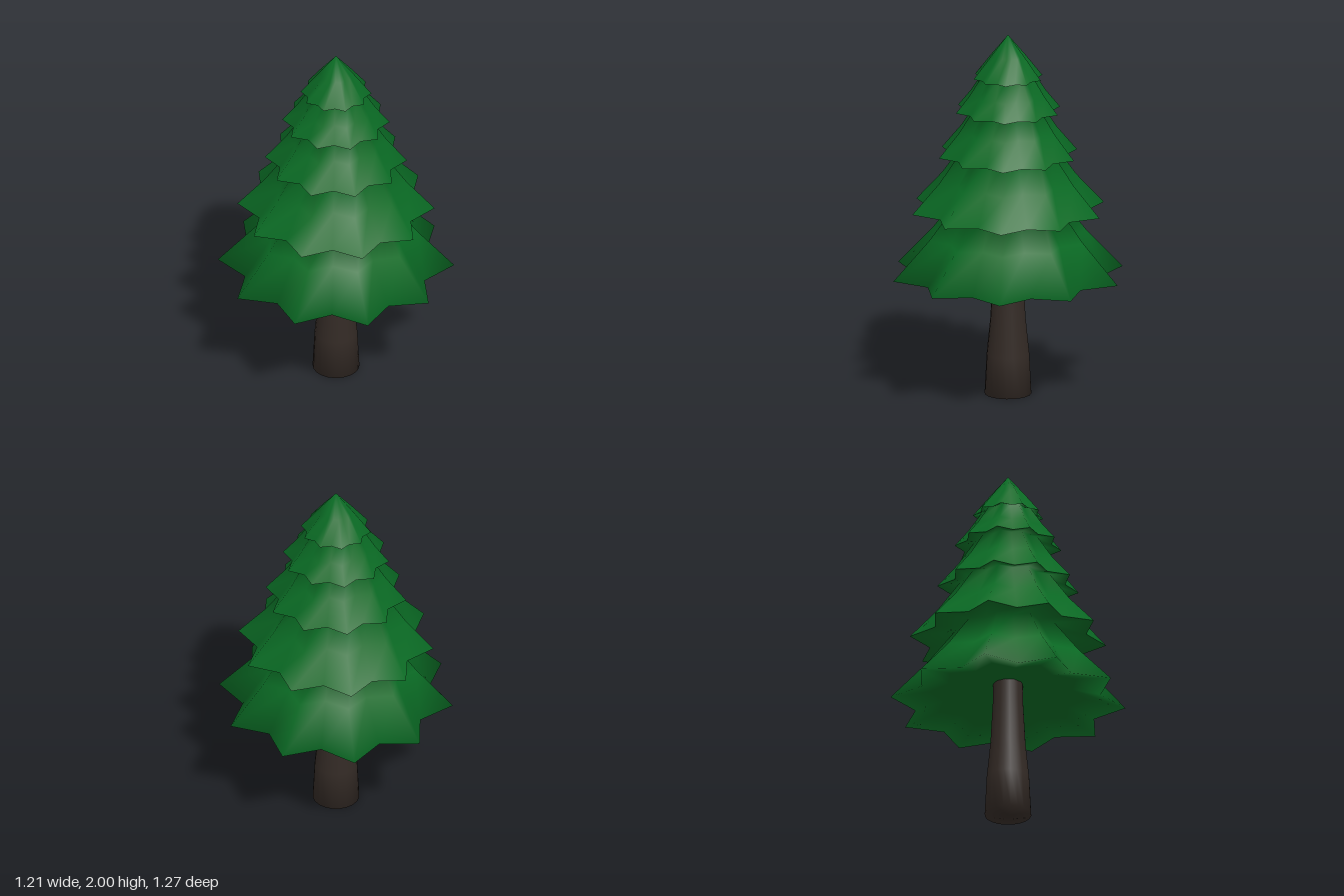
import * as THREE from 'three';
import { mergeVertices } from 'three/addons/utils/BufferGeometryUtils.js';

const POINTS = 10;
const SIDES = POINTS * 2;

// Smooth star-shaped shell through rings of [tip radius, height, notch ratio], bottom to top
function starShell(rings) {
  const pos = [], index = [];
  rings.forEach(([r, y, notch], j) => {
    for (let i = 0; i < SIDES; i++) {
      const a = (i / SIDES) * Math.PI * 2;
      const k = i % 2 ? r * notch : r;
      pos.push(k * Math.sin(a), y, k * Math.cos(a));
      if (j === rings.length - 1) continue;
      const n = (i + 1) % SIDES;
      const p = j * SIDES + i, q = j * SIDES + n;
      index.push(p, q, q + SIDES, p, q + SIDES, p + SIDES);
    }
  });
  let geo = new THREE.BufferGeometry();
  geo.setAttribute('position', new THREE.Float32BufferAttribute(pos, 3));
  geo.setIndex(index);
  geo = mergeVertices(geo);
  geo.computeVertexNormals();
  return geo;
}

export function createModel() {
  const tree = new THREE.Group();
  tree.name = 'pineTree';
  const green = new THREE.MeshStandardMaterial({ color: 0x0a6a24, side: THREE.DoubleSide });
  const brown = new THREE.MeshStandardMaterial({ color: 0x332a25 });
  const add = (name, geo, mat) => {
    const mesh = new THREE.Mesh(geo, mat);
    mesh.name = name;
    tree.add(mesh);
  };

  // Trunk flaring towards the foot
  const trunk = [[0, 0], [0.126, 0], [0.115, 0.22], [0.095, 0.42], [0.082, 0.66], [0.079, 0.8]];
  add('trunk', new THREE.LatheGeometry(trunk.map(([r, y]) => new THREE.Vector2(r, y)), 20), brown);

  // Skirts of the tiers; the lowest starts with its hollow underside
  const tiers = [
    [[0, 0.785, 1], [0.42, 0.708, 0.84], [0.635, 0.665, 0.8], [0.435, 0.88, 0.83], [0.285, 1.075, 0.85]],
    [[0.53, 1.03, 0.81], [0.38, 1.195, 0.83], [0.258, 1.365, 0.85]],
    [[0.382, 1.335, 0.82], [0.27, 1.47, 0.84], [0.182, 1.605, 0.85]],
    [[0.288, 1.58, 0.83], [0.215, 1.67, 0.84], [0.14, 1.783, 0.85]],
    [[0.19, 1.763, 0.84], [0.095, 1.885, 0.86], [0, 2, 1]],
  ];
  // Each skirt runs on into the recessed ledge under the rim above it
  tiers.forEach((skirt, i) => {
    const ledge = i < tiers.length - 1 ? [tiers[i + 1][0]] : [];
    add(`branchTier${i + 1}`, starShell([...skirt, ...ledge]), green);
  });

  return tree;
}
